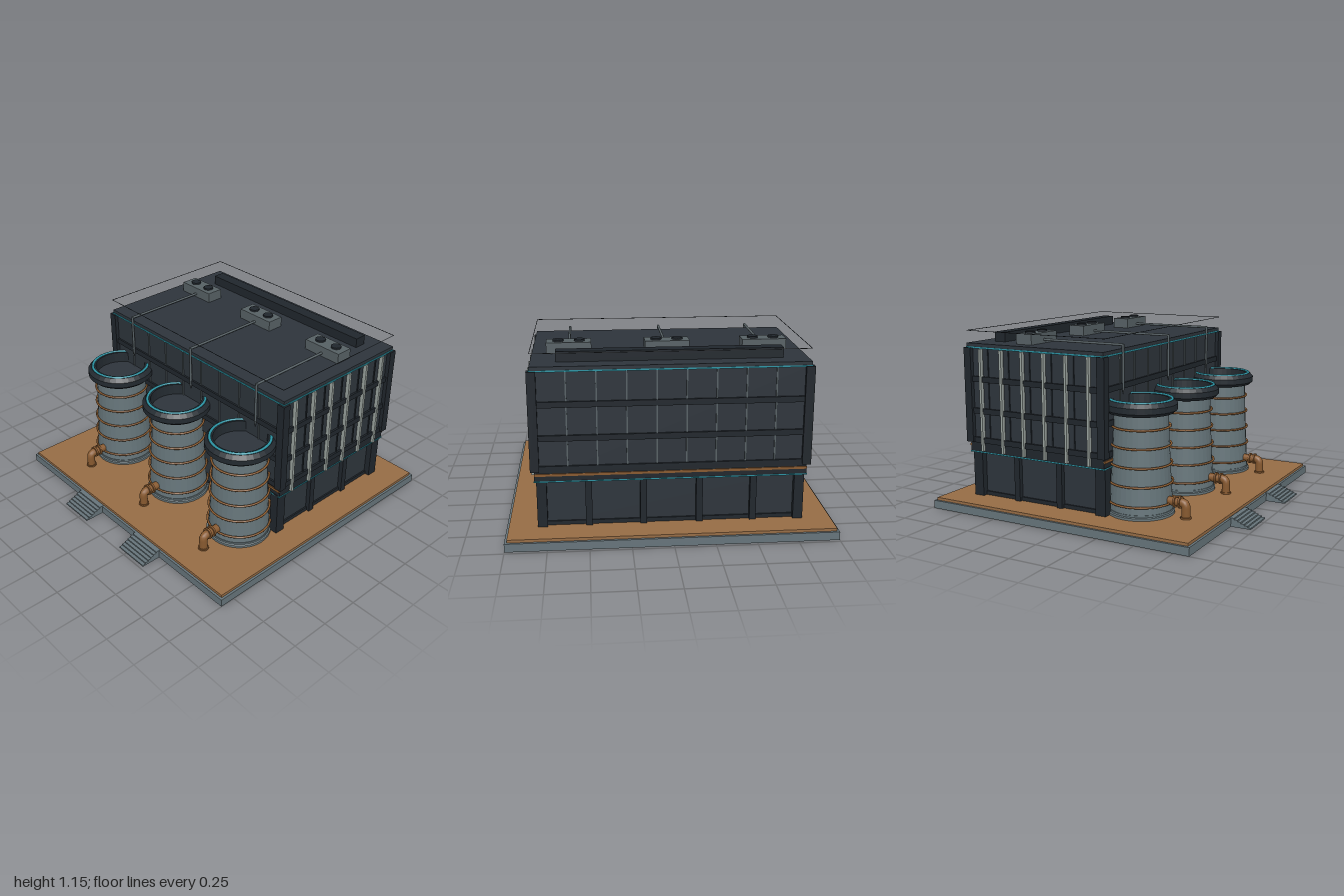
import * as THREE from 'three';

const mat = (name, color, extra = {}) => Object.assign(new THREE.MeshStandardMaterial({ color, ...extra }), { name });

export function createModel() {
  const M = {
    concrete: mat('concrete grey', 0x66747a),
    deck: mat('deck brown', 0x966c45),
    wall: mat('wall slate', 0x2d343b),
    trim: mat('trim charcoal', 0x20262c),
    copper: mat('copper', 0x87592f),
    cyan: mat('cyan light', 0x2c93a3),
    slat: mat('pale metal', 0x9aa39e),
    steel: mat('steel grey', 0x566064),
    tower: mat('tower grey', 0x66757a, { flatShading: true, side: THREE.DoubleSide }),
    collar: mat('collar charcoal', 0x232a30, { flatShading: true, side: THREE.DoubleSide }),
  };
  const root = new THREE.Group();
  root.name = 'coolingPlant';
  const add = (name, geo, m, x = 0, y = 0, z = 0, parent = root) => {
    const mesh = new THREE.Mesh(geo, m);
    mesh.name = name;
    mesh.position.set(x, y, z);
    parent.add(mesh);
    return mesh;
  };
  // box given by its min and max on each axis
  const box = (name, m, x0, x1, y0, y1, z0, z1, parent = root) =>
    add(name, new THREE.BoxGeometry(x1 - x0, y1 - y0, z1 - z0), m,
      (x0 + x1) / 2, (y0 + y1) / 2, (z0 + z1) / 2, parent);
  // strip running all round a rectangular block
  const band = (name, m, x, z0, z1, y0, y1, t) => {
    box(name, m, -x, x, y0, y1, z1 - t, z1);
    box(name, m, -x, x, y0, y1, z0, z0 + t);
    for (const s of [-1, 1]) box(name, m, s * (x - t / 2) - t / 2, s * (x - t / 2) + t / 2, y0, y1, z0 + t, z1 - t);
  };
  // straight rod between two points
  const rod = (name, m, a, b, r, parent = root, sides = 10) => {
    const A = new THREE.Vector3(...a), d = new THREE.Vector3(...b).sub(A);
    const c = add(name, new THREE.CylinderGeometry(r, r, d.length(), sides), m, 0, 0, 0, parent);
    c.position.copy(A).addScaledVector(d, 0.5);
    c.quaternion.setFromUnitVectors(new THREE.Vector3(0, 1, 0), d.normalize());
  };

  // Base slab, deck and front steps
  box('baseSlab', M.concrete, -1, 1, 0, 0.052, -0.98, 0.85);
  box('deck', M.deck, -0.985, 0.985, 0.052, 0.07, -0.965, 0.835);
  for (const x of [-0.3, 0.3])
    for (let i = 0; i < 6; i++)
      box('step', M.concrete, x - 0.12, x + 0.12, 0, 0.055 - i * 0.009, 0.84, 0.87 + i * 0.022);

  // Lower storey with plinth and columns
  box('lowerHall', M.wall, -0.77, 0.77, 0.07, 0.37, -0.76, 0.17);
  band('plinth', M.trim, 0.78, -0.77, 0.18, 0.07, 0.095, 0.02);
  for (const sx of [-1, 1]) {
    for (const z of [-0.76, 0.165])
      box('cornerColumn', M.trim, sx * 0.78 - 0.03, sx * 0.78 + 0.03, 0.07, 0.37, z - 0.035, z + 0.035);
    for (const z of [-0.46, -0.14])
      box('sideColumn', M.trim, sx * 0.78 - 0.02, sx * 0.78 + 0.02, 0.07, 0.37, z - 0.02, z + 0.02);
  }
  for (const x of [-0.5, -0.17, 0.17, 0.5])
    box('backColumn', M.trim, x - 0.02, x + 0.02, 0.07, 0.37, -0.79, -0.75);

  // Doors with copper frames
  for (const x of [-0.3, 0.3]) {
    box('doorFrame', M.copper, x - 0.12, x + 0.12, 0.07, 0.355, 0.16, 0.188);
    box('door', M.wall, x - 0.097, x + 0.097, 0.07, 0.33, 0.17, 0.194);
    box('doorSeam', M.steel, x - 0.004, x + 0.004, 0.07, 0.33, 0.192, 0.198);
  }

  // Upper storey, with lit seams below and above
  box('upperHall', M.wall, -0.815, 0.815, 0.36, 1.04, -0.8, 0.192);
  band('lowerLightStrip', M.cyan, 0.823, -0.808, 0.2, 0.36, 0.368, 0.015);
  band('skirt', M.trim, 0.82, -0.805, 0.197, 0.368, 0.43, 0.01);
  band('upperLightStrip', M.cyan, 0.829, -0.812, 0.204, 1.036, 1.046, 0.016);
  for (const z of [-0.807, 0.199]) box('copperBand', M.copper, -0.82, 0.82, 0.4, 0.415, z - 0.005, z + 0.005);
  for (const y of [0.445, 0.635, 0.84])
    band('wallRail', M.trim, 0.828, -0.812, 0.204, y - 0.018, y + 0.018, 0.014);
  for (let i = 0; i < 8; i++) {
    const x = (i - 3.5) * 0.177;
    for (const z of [-0.803, 0.195]) box('wallRib', M.steel, x - 0.004, x + 0.004, 0.43, 1.036, z - 0.004, z + 0.004);
  }
  for (const sx of [-1, 1]) {
    for (const z of [-0.795, 0.19])
      box('cornerPost', M.trim, sx * 0.815 - 0.027, sx * 0.815 + 0.027, 0.43, 1.04, z - 0.026, z + 0.026);
    for (let i = 0; i < 6; i++) {
      const z = 0.1 - i * 0.16;
      box('sideSlat', M.slat, sx * 0.826 - 0.014, sx * 0.826 + 0.014, 0.375, 1.036, z - 0.008, z + 0.008);
    }
    for (let i = 0; i < 5; i++) {
      const z = -0.01 - i * 0.16;
      box('sideRib', M.trim, sx * 0.817 - 0.004, sx * 0.817 + 0.004, 0.43, 1.036, z - 0.004, z + 0.004);
    }
  }

  // Roof, duct, fan units and thin safety rail
  box('roof', M.wall, -0.825, 0.825, 1.046, 1.068, -0.81, 0.2);
  box('roofDuct', M.trim, -0.675, 0.675, 1.068, 1.13, -0.7, -0.62);
  for (const x of [-0.6, 0, 0.6]) {
    box('fanUnit', M.steel, x - 0.137, x + 0.137, 1.068, 1.135, -0.485, -0.37);
    for (const dx of [-0.065, 0.065])
      add('fan', new THREE.CylinderGeometry(0.033, 0.033, 0.012, 16), M.trim, x + dx, 1.14, -0.43);
    rod('roofPipe', M.steel, [x, 1.09, -0.37], [x, 1.09, 0.205], 0.008);
    rod('downPipe', M.steel, [x, 1.095, 0.205], [x, 0.82, 0.205], 0.008);
    const tip = add('pipeTip', new THREE.ConeGeometry(0.01, 0.04, 10), M.steel, x, 0.81, 0.205);
    tip.rotation.x = Math.PI;
  }
  const corners = [[-0.82, 1.146, -0.81], [0.82, 1.146, -0.81], [0.82, 1.146, 0.205], [-0.82, 1.146, 0.205]];
  corners.forEach((c, i) => rod('safetyLine', M.trim, c, corners[(i + 1) % 4], 0.002, root, 5));

  // Cooling towers
  const lathe = (pts) => new THREE.LatheGeometry(pts.map(p => new THREE.Vector2(...p)), 32);
  const bodyRadius = (y) => 0.166 + 0.03 * Math.pow((0.72 - y) / 0.62, 1.3);
  const body = [[0.208, 0.07], [0.208, 0.085], [0.2, 0.09], [0.2, 0.102]];
  for (let i = 0; i <= 6; i++) {
    const y = 0.102 + i * 0.1;
    body.push([bodyRadius(y), y]);
  }
  for (const x of [-0.6, 0, 0.6]) {
    const t = new THREE.Group();
    t.name = 'coolingTower';
    t.position.set(x, 0, 0.33);
    root.add(t);
    add('towerBody', lathe(body), M.tower, 0, 0, 0, t);
    add('towerCollar', lathe([[0.166, 0.695], [0.2, 0.695], [0.222, 0.715], [0.222, 0.75],
      [0.2, 0.775], [0.168, 0.775], [0.164, 0.7]]), M.collar, 0, 0, 0, t);
    add('towerFloor', new THREE.CylinderGeometry(0.166, 0.166, 0.01, 32), M.wall, 0, 0.7, 0, t);
    const glow = add('rimLight', new THREE.TorusGeometry(0.188, 0.009, 8, 40), M.cyan, 0, 0.775, 0, t);
    glow.rotation.x = Math.PI / 2;
    for (const y of [0.15, 0.27, 0.385, 0.5, 0.612]) {
      const ring = add('copperRing', new THREE.TorusGeometry(bodyRadius(y) + 0.009, 0.007, 8, 40), M.copper, 0, y, 0, t);
      ring.rotation.x = Math.PI / 2;
    }
    // Outlet elbow with flanges
    const path = new THREE.CurvePath();
    const v = (y, z) => new THREE.Vector3(0, y, z);
    path.add(new THREE.LineCurve3(v(0.165, 0.17), v(0.165, 0.275)));
    path.add(new THREE.QuadraticBezierCurve3(v(0.165, 0.275), v(0.165, 0.305), v(0.135, 0.305)));
    path.add(new THREE.LineCurve3(v(0.135, 0.305), v(0.07, 0.305)));
    add('outletPipe', new THREE.TubeGeometry(path, 24, 0.027, 14), M.copper, 0, 0, 0, t);
    for (const z of [0.235, 0.268]) rod('pipeFlange', M.copper, [0, 0.165, z - 0.006], [0, 0.165, z + 0.006], 0.037, t, 16);
    rod('pipeFoot', M.copper, [0, 0.07, 0.305], [0, 0.08, 0.305], 0.034, t, 16);
  }
  return root;
}
